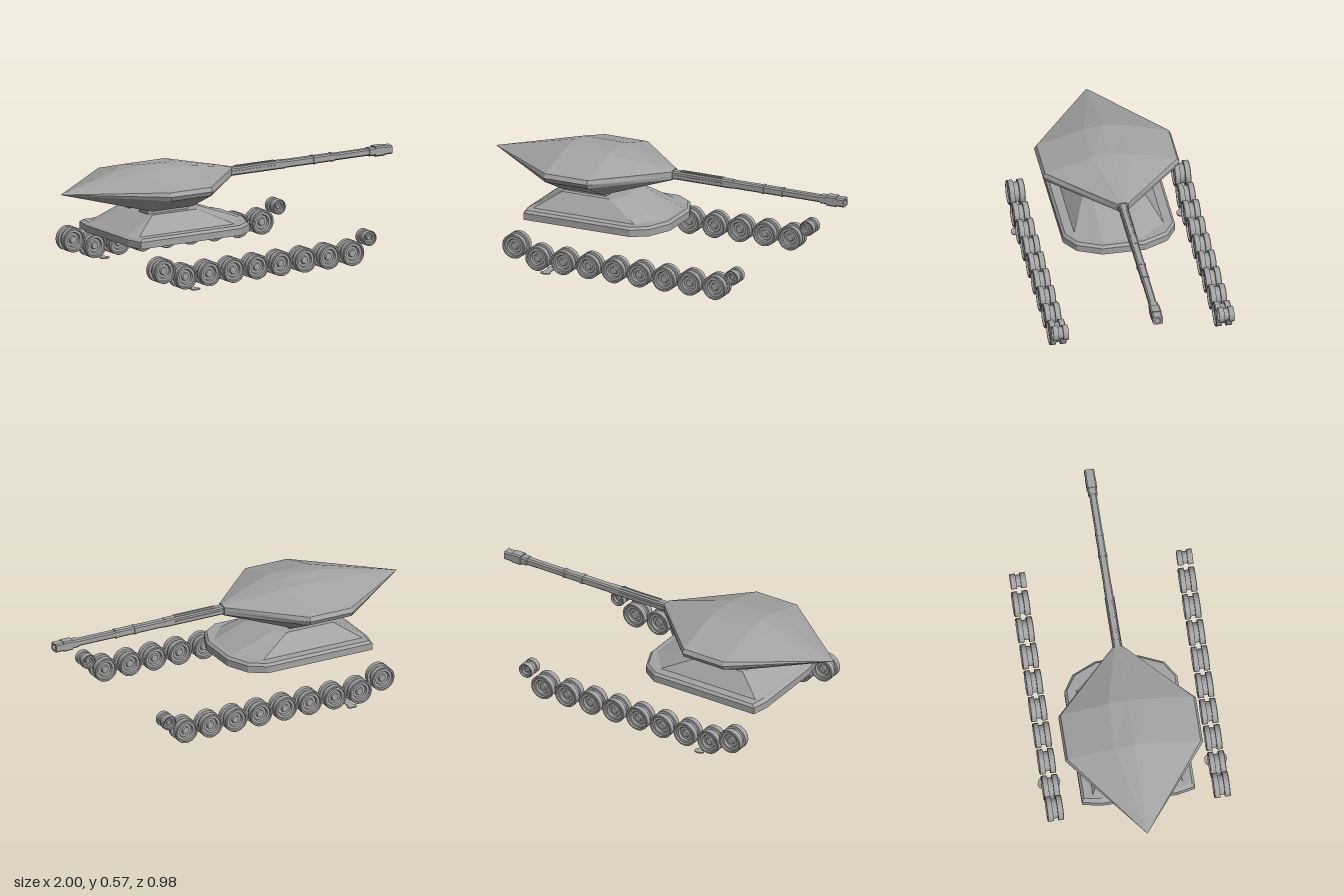
import * as THREE from 'three';

const grey = new THREE.MeshStandardMaterial({ color: 0xa3a3a3 });
grey.name = 'plain grey';
grey.flatShading = true;

function add(parent, name, geometry, x = 0, y = 0, z = 0) {
  const mesh = new THREE.Mesh(geometry, grey);
  mesh.name = name;
  mesh.position.set(x, y, z);
  parent.add(mesh);
  return mesh;
}

// Closed solid through matching rings, each counter-clockwise about the loft direction
function loft(rings) {
  const out = [];
  const tri = (a, b, c) => out.push(...a, ...b, ...c);
  const n = rings[0].length;
  for (let r = 0; r < rings.length - 1; r++) {
    for (let i = 0; i < n; i++) {
      const j = (i + 1) % n;
      const a = rings[r], b = rings[r + 1];
      tri(a[i], a[j], b[j]);
      tri(a[i], b[j], b[i]);
    }
  }
  const first = rings[0], last = rings[rings.length - 1];
  for (let i = 1; i < n - 1; i++) {
    tri(first[0], first[i + 1], first[i]);
    tri(last[0], last[i], last[i + 1]);
  }
  const g = new THREE.BufferGeometry();
  g.setAttribute('position', new THREE.Float32BufferAttribute(out, 3));
  g.computeVertexNormals();
  return g;
}

// Upright ring at x: ridge point, then the +z half from top to bottom, mirrored
function turretRing(x, ridge, half) {
  const left = half.map(([z, y]) => [x, y, z]);
  const right = half.map(([z, y]) => [x, y, -z]).reverse();
  return [[x, ridge, 0], ...left, ...right];
}

// Level ring at y: +z half from rear to front, mirrored
function hullRing(y, half) {
  const left = half.map(([x, z]) => [x, y, z]);
  const right = half.map(([x, z]) => [x, y, -z]).reverse();
  return [...left, ...right];
}

// Chamfered square bar along x, optionally bored through
function bar(x0, x1, hy, hz, bore = 0) {
  const c = 0.007;
  const s = new THREE.Shape([
    [hz, -hy + c], [hz, hy - c], [hz - c, hy], [-hz + c, hy],
    [-hz, hy - c], [-hz, -hy + c], [-hz + c, -hy], [hz - c, -hy],
  ].map(([x, y]) => new THREE.Vector2(x, y)));
  if (bore) {
    const hole = new THREE.Path();
    hole.absarc(0, 0, bore, 0, Math.PI * 2, true);
    s.holes.push(hole);
  }
  const g = new THREE.ExtrudeGeometry(s, { depth: x1 - x0, bevelEnabled: false, curveSegments: 8 });
  return g.rotateY(Math.PI / 2).translate(x0, 0, 0);
}

// Twin-rimmed dished wheel with its axle along z
function wheelGeometry(r, w) {
  const half = [
    [0, 0.72], [0.28, 0.72], [0.33, 0.5], [0.54, 0.5], [0.6, 0.78],
    [0.8, 0.78], [0.84, 1], [0.96, 1], [1, 0.92], [1, 0.3], [0.8, 0.28],
  ];
  const side = half.map(([a, b]) => new THREE.Vector2(a * r, -b * w));
  const other = half.map(([a, b]) => new THREE.Vector2(a * r, b * w)).reverse();
  return new THREE.LatheGeometry([...side, ...other], 24).rotateX(Math.PI / 2);
}

export function createModel() {
  const model = new THREE.Group();
  model.name = 'tankParts';

  // Diamond-shaped turret
  const wide = [[0.1, 0.56], [0.345, 0.492], [0.357, 0.47], [0.345, 0.447], [0.17, 0.36]];
  const nose = [[0.015, 0.497], [0.028, 0.491], [0.03, 0.47], [0.028, 0.45], [0.02, 0.445]];
  const tip = wide.map(([z, y]) => [z * 0.005, 0.47 + (y - 0.47) * 0.005]);
  add(model, 'turret', loft([
    turretRing(-1, 0.4705, tip),
    turretRing(-0.55, 0.573, wide),
    turretRing(-0.305, 0.563, wide),
    turretRing(0.02, 0.498, nose),
  ]));

  // Turret supports
  for (const s of [1, -1]) {
    add(model, 'turretSupport', new THREE.BoxGeometry(0.245, 0.03, 0.084), -0.43, 0.348, s * 0.085);
  }

  // Hull: bevelled slab and sloped pedestal
  const slab = [[-0.72, 0.2], [-0.7, 0.293], [-0.09, 0.293], [-0.005, 0.237], [0.05, 0.112]];
  const slabTop = [[-0.7, 0.192], [-0.685, 0.28], [-0.092, 0.28], [-0.015, 0.228], [0.037, 0.108]];
  add(model, 'hullSlab', loft([hullRing(0.203, slab), hullRing(0.239, slab), hullRing(0.252, slabTop)]));
  const foot = [[-0.7, 0.17], [-0.675, 0.235], [-0.09, 0.235], [-0.03, 0.157], [0.02, 0.105]];
  const crown = [[-0.55, 0.12], [-0.545, 0.157], [-0.275, 0.157], [-0.27, 0.155], [-0.22, 0.105]];
  add(model, 'hullPedestal', loft([hullRing(0.25, foot), hullRing(0.338, crown)]));

  // Gun barrel in stepped lengths, ending in a bored muzzle
  const gun = new THREE.Group();
  gun.name = 'gun';
  gun.position.y = 0.47;
  model.add(gun);
  add(gun, 'barrelRoot', bar(0.0, 0.36, 0.022, 0.021));
  add(gun, 'barrelMiddle', bar(0.36, 0.64, 0.02, 0.02));
  add(gun, 'barrelFront', bar(0.64, 0.88, 0.018, 0.019));
  add(gun, 'barrelBand', bar(0.525, 0.54, 0.022, 0.023));
  add(gun, 'barrelBand', bar(0.635, 0.648, 0.022, 0.021));
  add(gun, 'muzzleCollar', bar(0.865, 0.9, 0.021, 0.024, 0.015));
  add(gun, 'muzzleBrake', bar(0.9, 0.955, 0.027, 0.027, 0.015));
  add(gun, 'muzzleEnd', bar(0.955, 1, 0.023, 0.026, 0.015));
  for (const s of [1, -1]) {
    add(gun, 'barrelSideRail', new THREE.BoxGeometry(0.28, 0.008, 0.008), 0.16, 0, s * 0.021);
    add(gun, 'barrelTopRail', new THREE.BoxGeometry(0.24, 0.006, 0.007), 0.18, 0.022, s * 0.011);
  }

  // Running gear on both sides
  const roadWheel = wheelGeometry(0.065, 0.042);
  const idler = wheelGeometry(0.04, 0.04);
  for (const s of [1, -1]) {
    const gear = new THREE.Group();
    gear.name = s > 0 ? 'leftRunningGear' : 'rightRunningGear';
    gear.position.z = s * 0.432;
    model.add(gear);
    for (let i = 0; i < 8; i++) add(gear, 'roadWheel', roadWheel, -0.535 + i * 0.145, 0.071, 0);
    add(gear, 'rearWheel', roadWheel, -0.667, 0.117, 0);
    add(gear, 'frontIdler', idler, 0.58, 0.139, 0);
    // Track link left lying under the wheels
    add(gear, 'trackLink', new THREE.BoxGeometry(0.035, 0.005, 0.1), -0.483, 0.0035, 0);
    for (const e of [1, -1]) {
      const pad = new THREE.CylinderGeometry(0.028, 0.028, 0.006, 10).scale(1, 1, 0.65);
      add(gear, 'trackLinkPad', pad, -0.483, 0.003, e * 0.04);
    }
  }
  return model;
}
